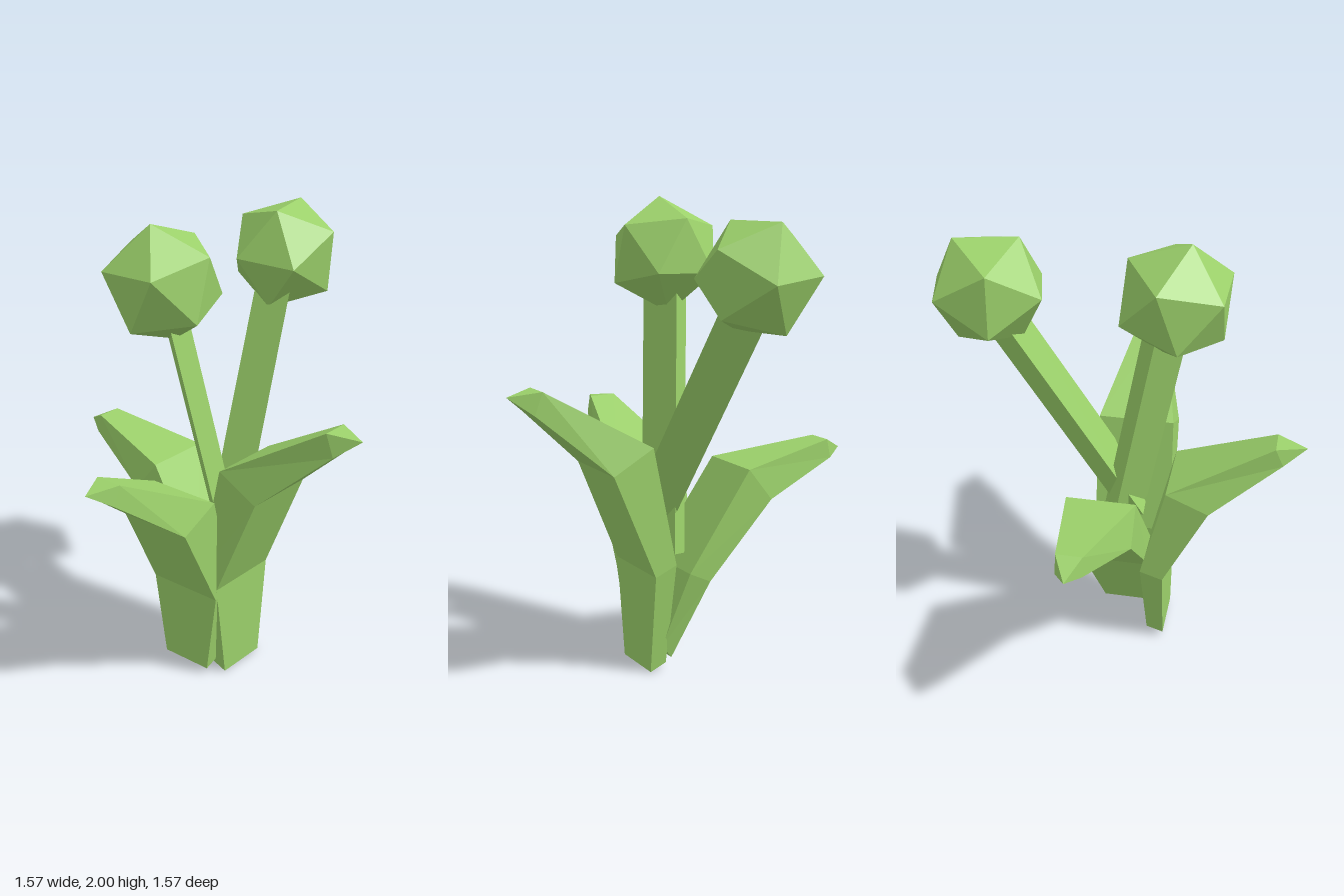
import * as THREE from 'three';

const material = new THREE.MeshStandardMaterial({ color: 0x9bd06a, flatShading: true });
const V = (x, y, z) => new THREE.Vector3(x, y, z);

function part(name, geometry) {
  const mesh = new THREE.Mesh(geometry, material);
  mesh.name = name;
  return mesh;
}

// Faceted skin through rings of points, closed at both ends
function loft(rings) {
  const pts = [];
  const n = rings[0].length;
  for (let k = 0; k < rings.length - 1; k++) {
    for (let i = 0; i < n; i++) {
      const j = (i + 1) % n;
      const [a, b, c, d] = [rings[k][i], rings[k][j], rings[k + 1][j], rings[k + 1][i]];
      pts.push(a, b, c);
      if (!c.equals(d)) pts.push(a, c, d);
    }
  }
  const first = rings[0], last = rings[rings.length - 1];
  for (let i = 1; i < n - 1; i++) {
    pts.push(first[0], first[i + 1], first[i]);
    if (!last[0].equals(last[i])) pts.push(last[0], last[i], last[i + 1]);
  }
  const geometry = new THREE.BufferGeometry().setFromPoints(pts);
  geometry.computeVertexNormals();
  return geometry;
}

// Leaf bending towards +z; section: outer z, outer y, inner z, inner y, x min, x max
function leaf(name, sections, tip) {
  const rings = sections.map(([oz, oy, iz, iy, x0, x1]) =>
    [V(x1, oy, oz), V(x1, iy, iz), V(x0, iy, iz), V(x0, oy, oz)]);
  rings.push(Array(4).fill(tip));
  return part(name, loft(rings));
}

// Flattened three-sided stem; u points from its ridge to its narrow face
function stem(name, base, top, u) {
  const t = top.clone().sub(base).normalize();
  u.addScaledVector(t, -u.dot(t)).normalize();
  const v = t.clone().cross(u);
  const ring = (p) => [[-0.1, 0], [0.08, -0.05], [0.08, 0.05]].map(([a, b]) =>
    p.clone().addScaledVector(u, a).addScaledVector(v, b));
  return part(name, loft([ring(base), ring(top)]));
}

// Twenty-sided head, turned so that one edge runs from direction a to direction b
function head(name, center, a, b) {
  a.normalize();
  b.normalize();
  const x = b.clone().sub(a).normalize();
  const y = a.clone().add(b).normalize();
  const mesh = part(name, new THREE.IcosahedronGeometry(0.252, 0));
  mesh.quaternion.setFromRotationMatrix(new THREE.Matrix4().makeBasis(x, y, x.clone().cross(y)));
  mesh.position.copy(center);
  return mesh;
}

export function createModel() {
  const group = new THREE.Group();
  group.name = 'plant';

  // Upright leaf, used at the front and, lower, at the side
  const upright = [
    [0.205, 0, 0.13, 0.03, -0.14, 0.095],
    [0.205, 0.44, 0.105, 0.48, -0.2, 0.145],
    [0.395, 0.9, 0.21, 1.0, -0.19, 0.14],
    [0.69, 1.165, 0.655, 1.26, -0.085, 0.035],
  ];
  const uprightTip = V(-0.025, 1.24, 0.785);
  const frontLeaf = leaf('frontLeaf', upright, uprightTip);
  const sideLeaf = leaf('sideLeaf', upright, uprightTip);
  sideLeaf.rotation.y = -Math.PI / 2;
  sideLeaf.scale.y = 0.835;
  sideLeaf.position.set(0, 0.025, 0.06);

  // Leaf leaning further out at the back
  const backLeaf = leaf('backLeaf', [
    [-0.105, 0.05, -0.15, 0.11, -0.1, 0.1],
    [0.045, 0.39, -0.055, 0.44, -0.175, 0.135],
    [0.34, 0.72, 0.225, 0.865, -0.2, 0.1],
    [0.7, 0.85, 0.68, 0.935, -0.14, -0.03],
  ], V(-0.085, 0.88, 0.785));
  backLeaf.rotation.y = Math.PI;

  group.add(
    frontLeaf, sideLeaf, backLeaf,
    // Stems and their heads
    stem('tallStem', V(0.02, 0.5, 0.1), V(-0.2, 1.65, -0.04), V(0.82, 0, -0.57)),
    stem('leaningStem', V(-0.06, 0.6, 0.14), V(0.49, 1.62, -0.02), V(0.35, 0, -1)),
    head('tallHead', V(-0.225, 1.757, -0.052), V(-0.055, 0.245, -0.01), V(0.195, 0.165, 0)),
    head('leaningHead', V(0.541, 1.72, -0.023), V(0.241, -0.008, 0.08), V(0.052, 0.115, 0.215)),
  );
  return group;
}
